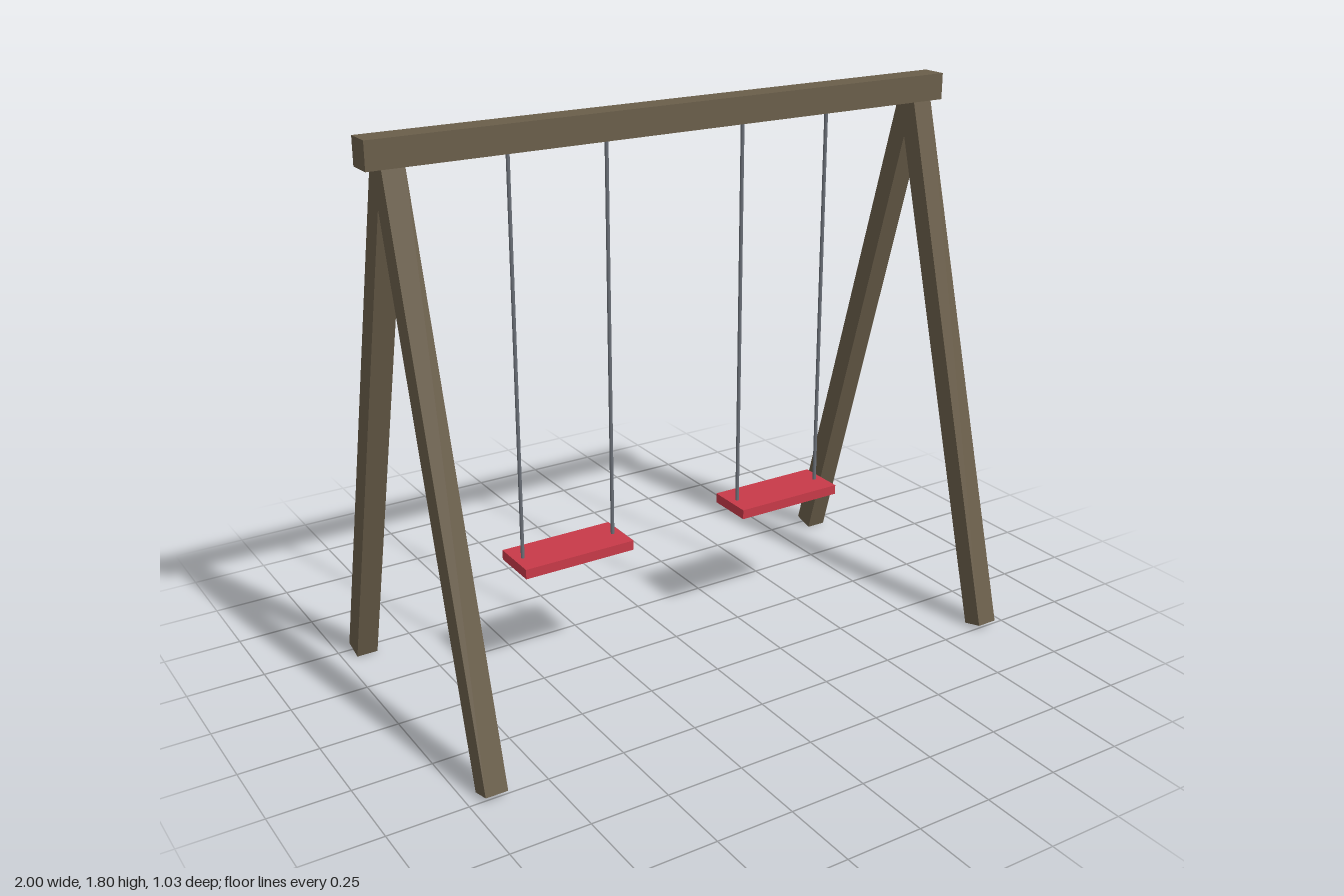
import * as THREE from 'three';

const material = (name, color) => {
  const m = new THREE.MeshStandardMaterial({ color });
  m.name = name;
  return m;
};

export function createModel() {
  const wood = material('weathered wood', 0x6a5e4a);
  const red = material('red seat', 0xc83a48);
  const steel = material('grey steel', 0x6b7078);

  const group = new THREE.Group();
  group.name = 'swingSet';

  const add = (name, geometry, mat, x, y, z, parent = group) => {
    const mesh = new THREE.Mesh(geometry, mat);
    mesh.name = name;
    mesh.position.set(x, y, z);
    parent.add(mesh);
    return mesh;
  };

  // Top beam
  add('topBeam', new THREE.BoxGeometry(2, 0.085, 0.084), wood, 0, 1.757, 0);

  // Splayed legs, meeting inside the beam
  const footZ = 0.48, footY = 0.0095, apexY = 1.73;
  const legGeometry = new THREE.BoxGeometry(0.07, Math.hypot(footZ, apexY - footY), 0.07);
  const splay = Math.atan2(footZ, apexY - footY);
  for (const side of [-1, 1]) {
    for (const end of [-1, 1]) {
      const name = (end > 0 ? 'front' : 'back') + (side > 0 ? 'Left' : 'Right') + 'Leg';
      const leg = add(name, legGeometry, wood, side * 0.92, (footY + apexY) / 2, end * footZ / 2);
      leg.rotation.x = -end * splay;
    }
  }

  // Two swings, each a board hung on two thin rods
  const seatGeometry = new THREE.BoxGeometry(0.38, 0.032, 0.16);
  const rodGeometry = new THREE.CylinderGeometry(0.006, 0.006, 1.285, 8);
  for (const side of [-1, 1]) {
    const swing = new THREE.Group();
    swing.name = side > 0 ? 'leftSwing' : 'rightSwing';
    swing.position.x = side * 0.4;
    group.add(swing);
    add('seat', seatGeometry, red, 0, 0.429, 0, swing);
    for (const x of [-0.16, 0.16]) add('hangingRod', rodGeometry, steel, x, 1.0775, 0, swing);
  }

  return group;
}
